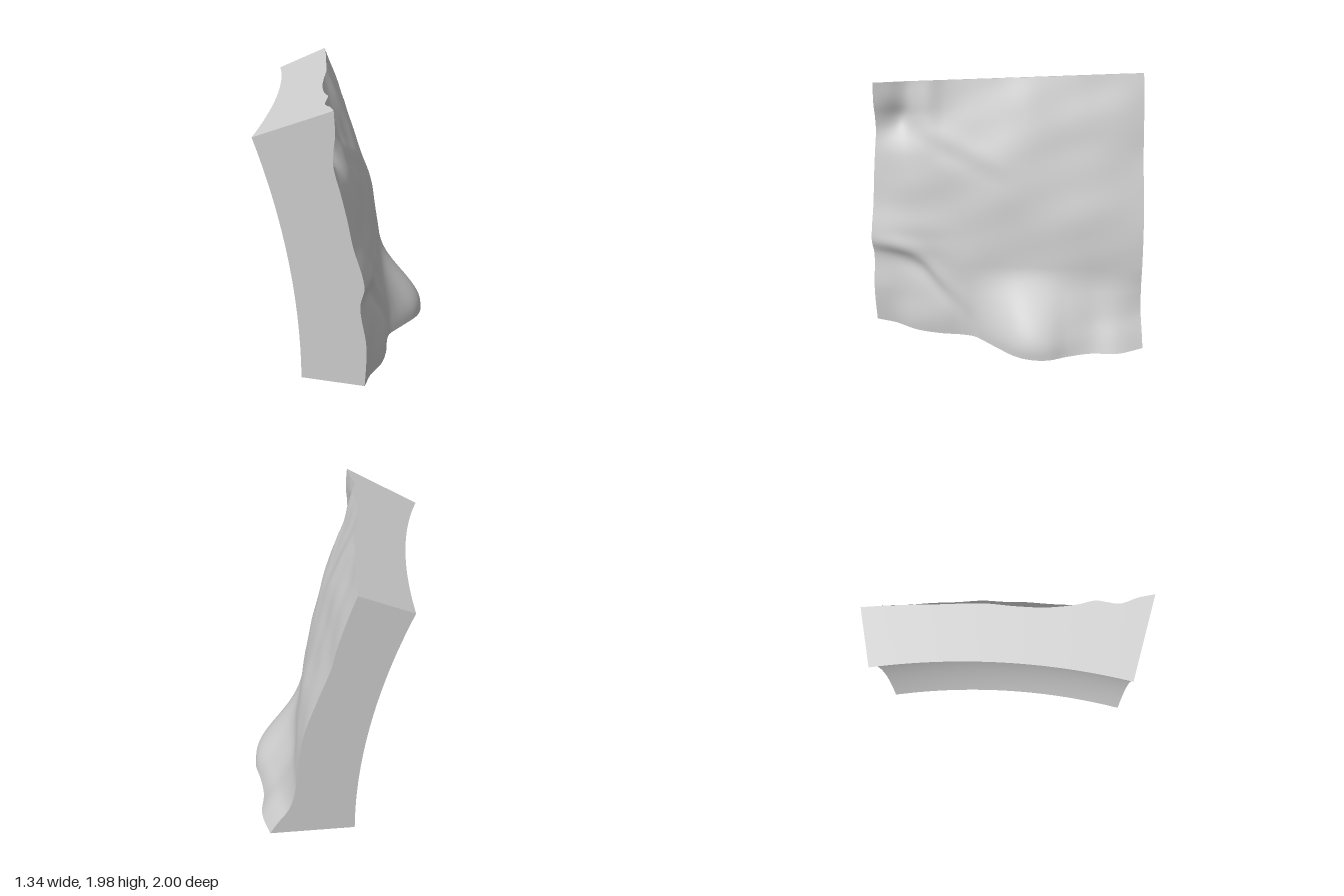
import * as THREE from 'three';

// Block cut from a thick spherical shell: smooth inside, rugged outside.
const T = Math.tan(Math.PI / 8);          // the block spans 22.5 degrees each way
const R = 4.77;                           // inner radius
const CENTRE = new THREE.Vector3(-4.79, 0, -1);

// Smooth thickness curve through [position, thickness] pairs
function profile(pairs) {
  const c = new THREE.CubicInterpolant(pairs.map(p => p[0]), pairs.map(p => p[1]), 1, [0]);
  return t => c.evaluate(t)[0];
}

// Thickness along the four edges (u runs up, v runs to the front)
const bottomEdge = profile([[0, .61], [.089, .664], [.179, .655], [.258, .691], [.323, .739],
  [.386, .739], [.434, .707], [.493, .629], [.549, .552], [.59, .505], [.64, .496], [.716, .508],
  [.822, .502], [.913, .458], [1, .454]]);
const topEdge = profile([[0, .393], [.255, .374], [.411, .38], [.518, .372], [.626, .383],
  [.731, .428], [.792, .472], [.837, .475], [.882, .482], [.941, .545], [1, .593]]);
const backEdge = profile([[0, .61], [.045, .551], [.101, .475], [.186, .435], [.28, .435],
  [.424, .428], [.577, .391], [.694, .37], [.8, .381], [.888, .387], [1, .393]]);
const frontEdge = profile([[0, .454], [.15, .472], [.302, .455], [.361, .497], [.4, .497],
  [.508, .468], [.615, .467], [.708, .467], [.81, .471], [.861, .501], [.911, .543], [1, .593]]);
const ledgePath = profile([[0, 0], [.5, 0], [.6, .1], [.72, .2], [.8, .28], [.9, .33], [1, .35]]);

const bump = (u, v, cu, cv, wu, wv) => Math.exp(-(((u - cu) / wu) ** 2) - (((v - cv) / wv) ** 2));

// Terrain away from the edges
function interior(u, v) {
  let h = .425 + .045 * v - .05 * u * (1 - v);
  const d = (u - ledgePath(v)) / .05;                                  // curved ledge
  h += .035 * THREE.MathUtils.smoothstep(v, .55, .8) * d * Math.exp(-d * d);
  h -= .05 * bump(u, v, .86, .92, .06, .05);                           // pit in the upper corner
  const s = (u - .72 - .5 * (v - .67)) / .05;                          // shallow slanting step
  h += .015 * s * Math.exp(-s * s) * bump(u, v, u, .67, 1, .15);
  h += .006 * Math.sin(13 * u + 5 * v + 1) * Math.sin(14 * v - 4 * u)  // gentle waviness
     + .003 * Math.sin(27 * u - 9 * v) * Math.sin(24 * v + 8 * u + 2);
  return h;
}

// Blend the edge profiles into the interior
function thickness(u, v) {
  const fade = (x, a, b) => 1 - THREE.MathUtils.smoothstep(x, a, b);
  const fB = fade(u, .02, .28), fT = fade(1 - u, 0, .35);
  const fK = fade(v, 0, .5), fF = fade(1 - v, 0, .4);
  const e = (edge, t, a, b) => edge(t) - interior(a, b);
  return interior(u, v)
    + fB * e(bottomEdge, v, 0, v) + fT * e(topEdge, v, 1, v)
    + fK * e(backEdge, u, u, 0) + fF * e(frontEdge, u, u, 1)
    - fB * fK * e(bottomEdge, 0, 0, 0) - fB * fF * e(bottomEdge, 1, 0, 1)
    - fT * fK * e(topEdge, 0, 1, 0) - fT * fF * e(topEdge, 1, 1, 1);
}

// Point in the shell: w = 0 on the inside, 1 on the outside
function shell(u, v, w) {
  const r = R + (w ? w * thickness(u, v) : 0);
  return new THREE.Vector3(1, T * u, T * v).setLength(r).add(CENTRE);
}

// Grid surface from a rule, facing along ds x dt
function patch(name, fn, ns, nt, material) {
  const pos = [], idx = [];
  for (let i = 0; i <= ns; i++) {
    for (let j = 0; j <= nt; j++) {
      pos.push(...fn(i / ns, j / nt).toArray());
      if (i < ns && j < nt) {
        const a = i * (nt + 1) + j, b = a + nt + 1;
        idx.push(a, b, b + 1, a, b + 1, a + 1);
      }
    }
  }
  const g = new THREE.BufferGeometry();
  g.setAttribute('position', new THREE.Float32BufferAttribute(pos, 3));
  g.setIndex(idx);
  g.computeVertexNormals();
  const mesh = new THREE.Mesh(g, material);
  mesh.name = name;
  return mesh;
}

export function createModel() {
  const stone = new THREE.MeshStandardMaterial({ color: 0xcccccc });
  stone.name = 'pale grey stone';
  const group = new THREE.Group();
  group.name = 'shellBlock';
  const N = 110;
  group.add(
    patch('ruggedOuterSurface', (s, t) => shell(s, t, 1), N, N, stone),
    patch('smoothInnerSurface', (s, t) => shell(t, s, 0), 32, 32, stone),
    patch('bottomFace', (s, t) => shell(0, t, s), 1, N, stone),
    patch('topFace', (s, t) => shell(1, s, t), N, 1, stone),
    patch('backFace', (s, t) => shell(s, 0, t), N, 1, stone),
    patch('frontFace', (s, t) => shell(t, 1, s), 1, N, stone),
  );
  return group;
}
